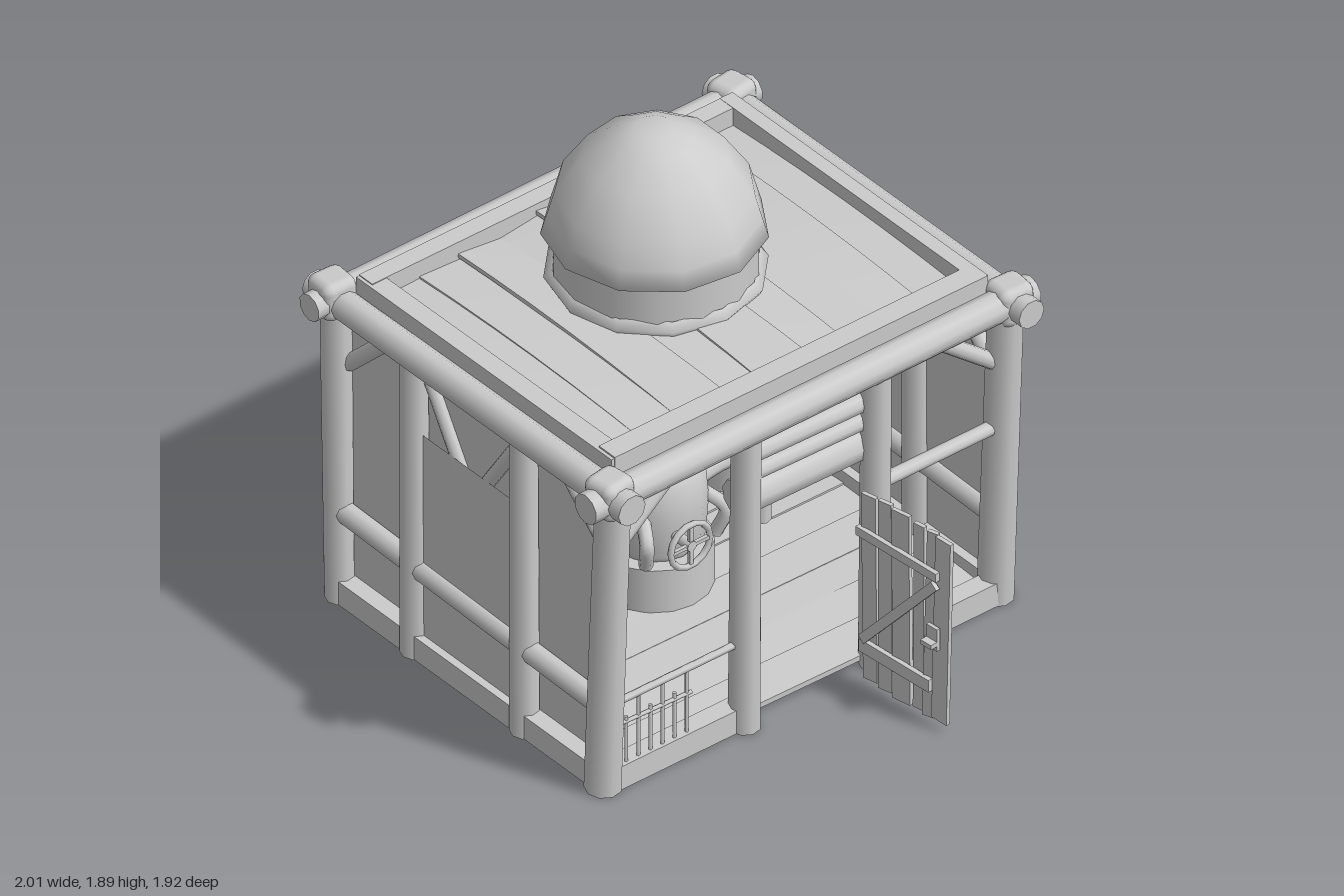
import * as THREE from 'three';
import { RoundedBoxGeometry } from 'three/addons/geometries/RoundedBoxGeometry.js';

export function createModel() {
  const root = new THREE.Group();
  root.name = 'boilerHut';
  const grey = new THREE.MeshStandardMaterial({ color: 0xcccccc, side: THREE.DoubleSide });
  grey.name = 'plain grey';

  let seed = 7;
  const rnd = () => ((seed = (seed * 16807) % 2147483647) / 2147483647 - 0.5);
  const V = (x, y, z) => new THREE.Vector3(x, y, z);

  function add(name, geo, x = 0, y = 0, z = 0, parent = root) {
    const m = new THREE.Mesh(geo, grey);
    m.name = name;
    m.position.set(x, y, z);
    parent.add(m);
    return m;
  }
  const box = (name, w, h, d, x, y, z, parent) => add(name, new THREE.BoxGeometry(w, h, d), x, y, z, parent);
  const cyl = (name, rt, rb, h, x, y, z, n = 12) => add(name, new THREE.CylinderGeometry(rt, rb, h, n), x, y, z);

  // Round log from a to b
  function log(name, a, b, r0, r1 = r0, n = 9) {
    const p = V(...a), q = V(...b), d = q.clone().sub(p);
    const m = add(name, new THREE.CylinderGeometry(r1, r0, d.length(), n));
    m.position.copy(p).add(q).multiplyScalar(0.5);
    m.quaternion.setFromUnitVectors(V(0, 1, 0), d.normalize());
    return m;
  }
  // Flat sheet in a wall plane, from outline points [u, y]
  function sheet(name, pts, axis, at) {
    const g = new THREE.ShapeGeometry(new THREE.Shape(pts.map(p => new THREE.Vector2(...p))));
    if (axis === 'x') g.rotateY(-Math.PI / 2);
    return axis === 'x' ? add(name, g, at, 0, 0) : add(name, g, 0, 0, at);
  }
  const rect = (u0, u1, y0, y1) => [[u0, y0], [u1, y0], [u1, y1], [u0, y1]];

  const XL = -0.89, XR = 0.52, ZF = 0.83, ZB = -0.86, TOP = 1.25;

  // Corner posts, leaning slightly
  for (const z of [ZF, ZB]) {
    log('cornerPost', [XL + 0.005, 0, z], [XL - 0.015, TOP, z], 0.052, 0.056);
    log('cornerPost', [0.495, 0, z], [0.55, TOP, z], 0.065, 0.063);
  }
  // Intermediate posts
  for (const z of [ZF, ZB])
    for (const x of [-0.49, 0.085]) log('wallPost', [x, 0, z], [x - 0.005, 1.22, z], 0.053, 0.05);
  for (const z of [0.25, -0.31]) {
    log('wallPost', [XL, 0, z], [XL, 1.22, z], 0.05);
    log('doorPost', [0.53, 0, z], [0.54, 1.22, z], 0.056, 0.053);
  }

  // Top ring of beams with knotted corner joints
  log('frontBeam', [-1, 1.235, 0.845], [0.665, 1.245, 0.845], 0.054, 0.058, 10);
  log('backBeam', [-1, 1.24, -0.875], [0.665, 1.25, -0.875], 0.054, 0.054, 10);
  log('sideBeam', [-0.9, 1.24, 0.95], [-0.9, 1.255, -0.96], 0.052, 0.052, 10);
  log('sideBeam', [0.555, 1.24, 0.955], [0.555, 1.25, -0.96], 0.058, 0.058, 10);
  for (const x of [-0.905, 0.55])
    for (const z of [0.845, -0.875]) {
      const j = add('cornerJoint', new RoundedBoxGeometry(0.135, 0.15, 0.135, 2, 0.035), x, 1.25, z);
      j.rotation.set(0.06, 0.1 * Math.sign(x * z), 0.03);
    }

  // Sills and mid rails
  for (const z of [ZF, ZB]) {
    box('sill', 1.36, 0.095, 0.07, -0.19, 0.0475, z);
    log('midRail', [-0.87, 0.365, z], [XR, 0.335, z], 0.04);
  }
  box('sill', 0.07, 0.095, 1.66, XL, 0.0475, -0.015);
  box('sill', 0.075, 0.095, 0.56, 0.51, 0.0475, 0.54);
  box('sill', 0.075, 0.095, 0.53, 0.51, 0.0475, -0.585);
  log('midRail', [XL, 0.34, 0.8], [XL, 0.36, 0.25], 0.033);
  log('midRail', [XL, 0.36, 0.25], [XL, 0.38, -0.31], 0.033);
  log('midRail', [XL, 0.38, -0.31], [XL, 0.35, -0.83], 0.033);
  log('upperRail', [XL, 0.91, 0.8], [XL, 0.9, 0.25], 0.018);
  log('sideRail', [0.53, 0.735, -0.33], [0.53, 0.735, -0.83], 0.026);

  // Corner braces on all four sides
  for (const z of [ZF - 0.02, ZB + 0.02]) {
    log('brace', [-0.86, 0.97, z], [-0.63, 1.2, z], 0.03);
    log('brace', [0.51, 0.97, z], [0.26, 1.2, z], 0.03);
  }
  for (const x of [XL, 0.53]) {
    log('brace', [x, 0.99, 0.82], [x, 1.2, 0.57], 0.03);
    log('brace', [x, 0.99, -0.84], [x, 1.2, -0.58], 0.03);
  }
  // Struts between the front wall and its cover panel
  log('strut', [-0.43, 1.14, 0.81], [-0.27, 0.87, 0.81], 0.026);
  log('strut', [0.03, 1.14, 0.81], [-0.16, 0.85, 0.81], 0.026);

  // Wall sheets
  sheet('frontWall', rect(-0.87, XR, 0, 1.2), 'z', 0.8);
  sheet('frontCover', rect(-0.49, 0.085, 0.09, 0.92), 'z', 0.835);
  sheet('backWall', rect(-0.87, XR, 0, 1.2), 'z', ZB);
  sheet('sideWall', [[ZB, 0], [ZF, 0], [ZF, 0.92], [0.77, 0.95], [0.34, 1.17], [0.25, 1.2], [ZB, 1.2]], 'x', XL);

  // Floor boards running front to back, slightly uneven
  for (let i = 0; i < 9; i++) {
    const b = box('floorBoard', 0.165, 0.022, 1.68, -0.81 + i * 0.155, 0.033 + rnd() * 0.012, -0.015);
    b.rotation.set(rnd() * 0.012, rnd() * 0.03, rnd() * 0.25);
  }

  // Roof frame
  box('roofFrame', 1.34, 0.08, 0.075, -0.17, 1.295, 0.76).rotation.z = 0.006;
  box('roofFrame', 1.34, 0.08, 0.055, -0.17, 1.3, -0.795).rotation.z = 0.006;
  box('roofFrame', 0.07, 0.08, 1.6, -0.805, 1.295, -0.015);
  box('roofFrame', 0.085, 0.08, 1.6, 0.46, 1.305, -0.015);
  // Warped roof boards, sagging towards the edges
  const N = 9;
  for (let i = 0; i < N; i++) {
    const z = -0.69 + (i * 1.34) / (N - 1);
    const g = new THREE.BoxGeometry(1.24, 0.016, 0.2, 6, 1, 1);
    const p = g.attributes.position;
    const lift = 0.02 * rnd(), twist = 0.05 * rnd();
    for (let k = 0; k < p.count; k++) {
      const x = p.getX(k);
      p.setY(k, p.getY(k) + lift - 0.03 * Math.abs(z) - 0.05 * x * x + twist * x * Math.sign(p.getZ(k)));
    }
    g.computeVertexNormals();
    add('roofBoard', g, -0.175, 1.295, z).rotation.x = 0.16 * rnd();
  }

  // Domed tower on the roof
  const lathe = (name, pts, n, x, y, z) =>
    add(name, new THREE.LatheGeometry(pts.map(p => new THREE.Vector2(...p)), n), x, y, z);
  lathe('drum', [[0.35, 1.27], [0.35, 1.5]], 14, -0.27, 0, -0.025);
  lathe('drumCollar', [[0.35, 1.34], [0.38, 1.315], [0.36, 1.28]], 12, -0.27, 0, -0.025);
  lathe('dome', [[0.34, 1.49], [0.385, 1.48], [0.365, 1.55], [0.34, 1.64], [0.25, 1.775], [0.14, 1.85],
    [0.07, 1.885], [0, 1.885]], 11, -0.275, 0, -0.025);

  // Logs above the doorway
  log('lintelLog', [0.47, 0.9, 0.24], [0.47, 0.895, -0.3], 0.07);
  log('lintelLog', [0.5, 1.01, 0.24], [0.5, 1.0, -0.3], 0.036);
  log('lintelLog', [0.5, 1.09, 0.24], [0.5, 1.08, -0.3], 0.04);

  // Open plank door with ledges, brace and handle
  const door = new THREE.Group();
  door.name = 'door';
  door.position.set(0.58, 0, -0.215);
  door.rotation.y = 0.09;
  root.add(door);
  [[0.045, 0.06], [0.115, 0.055], [0.195, 0.075], [0.275, 0.045], [0.33, 0.04], [0.385, 0.07]].forEach(([x, w], i) => {
    const p = box('doorPlank', w, 0.77 + rnd() * 0.04, 0.016, x, 0.41, rnd() * 0.012, door);
    p.rotation.set(0, 0.3 * rnd() + 0.15, i > 3 ? -0.025 : rnd() * 0.03);
  });
  box('doorLedge', 0.38, 0.035, 0.018, 0.19, 0.635, 0.022, door);
  box('doorLedge', 0.33, 0.05, 0.018, 0.18, 0.17, 0.022, door);
  box('doorBrace', 0.53, 0.035, 0.016, 0.2, 0.4, 0.026, door).rotation.z = 0.86;
  box('doorHandle', 0.05, 0.09, 0.014, 0.365, 0.385, 0.028, door);
  box('doorLatch', 0.05, 0.018, 0.035, 0.365, 0.37, 0.045, door);

  // Boiler below the tower
  const bx = -0.25, bz = -0.005;
  cyl('boilerBase', 0.2, 0.2, 0.18, bx, 0.13, bz, 16);
  lathe('boilerBody', [[0.14, 0.21], [0.17, 0.25], [0.18, 0.4], [0.17, 0.52], [0.13, 0.55]], 16, bx, 0, bz);
  cyl('boilerNeck', 0.13, 0.13, 0.25, bx, 0.67, bz, 16);
  cyl('boilerFlange', 0.165, 0.15, 0.03, bx, 0.805, bz, 16);
  const wheel = new THREE.Group();
  wheel.name = 'valveWheel';
  wheel.position.set(bx + 0.24, 0.34, 0.04);
  wheel.rotation.y = Math.PI / 2;
  root.add(wheel);
  add('wheelRim', new THREE.TorusGeometry(0.085, 0.012, 6, 14), 0, 0, 0, wheel);
  for (const a of [0, Math.PI / 2]) box('wheelSpoke', 0.17, 0.014, 0.014, 0, 0, 0, wheel).rotation.z = a;
  log('wheelShaft', [bx + 0.1, 0.34, 0.04], [bx + 0.25, 0.34, 0.04], 0.02);
  const tube = (name, pts, r) =>
    add(name, new THREE.TubeGeometry(new THREE.CatmullRomCurve3(pts.map(p => V(...p))), 14, r, 8));
  tube('bentPipe', [[bx, 0.38, -0.15], [bx, 0.4, -0.3], [bx, 0.37, -0.42], [bx, 0.25, -0.46], [bx, 0.08, -0.46]], 0.035);
  for (const s of [1, -1])
    tube('bentPipe', [[bx + 0.14, 0.25, s * 0.15], [bx + 0.17, 0.36, s * 0.17], [bx + 0.1, 0.41, s * 0.13]], 0.025);

  // Stored goods
  lathe('gasBottle', [[0, 0.04], [0.08, 0.05], [0.08, 0.72], [0.035, 0.8], [0.025, 0.94], [0, 0.95]], 12, -0.3, 0, 0.385);
  cyl('barrel', 0.14, 0.14, 0.32, -0.55, 0.2, -0.6, 14);
  const keg = cyl('keg', 0.1, 0.1, 0.28, -0.2, 0.33, 0.63, 9);
  keg.rotation.z = Math.PI / 2;
  box('kegStand', 0.26, 0.2, 0.22, -0.2, 0.14, 0.63);
  box('wallCabinet', 0.2, 0.38, 0.06, -0.2, 0.67, 0.755);

  // Low railing beside the door
  log('railingBar', [0.53, 0.355, 0.82], [0.53, 0.355, 0.25], 0.014, 0.014, 6);
  log('railingBar', [0.53, 0.26, 0.8], [0.53, 0.25, 0.48], 0.008, 0.008, 6);
  for (let i = 0; i < 6; i++) {
    const z = 0.76 - i * 0.052;
    log('railingSpindle', [0.53, 0.09, z], [0.53, i % 2 ? 0.36 : 0.28, z], 0.007, 0.007, 5);
  }
  return root;
}
